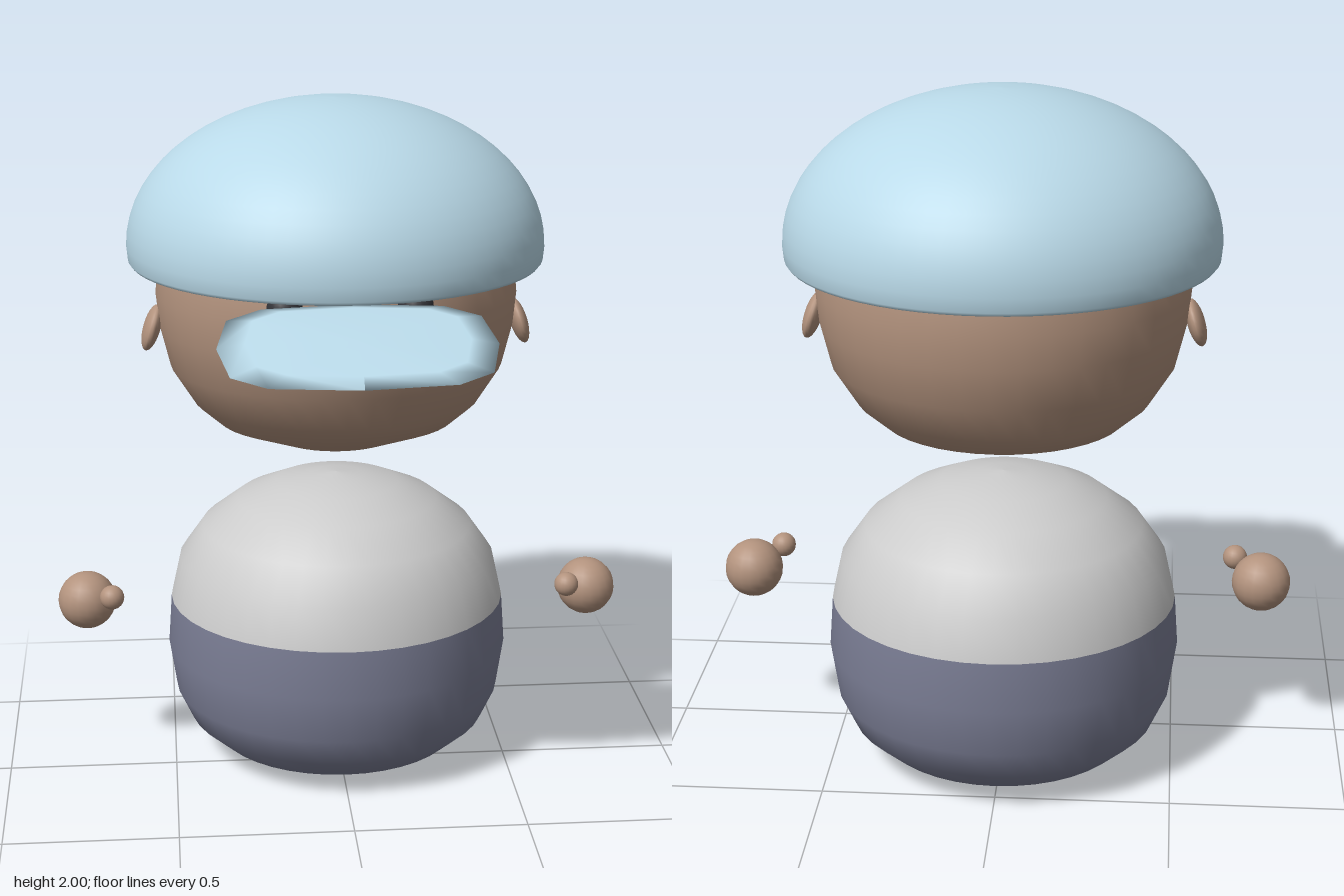
import * as THREE from 'three';

const SKIN = 0xb3937e, HAT = 0xb9d9e8, TROUSERS = 0x7b7e95, DARK = 0x333338, GREY = 0xcccccc;

function part(name, geometry, color, position = [0, 0, 0]) {
  const mesh = new THREE.Mesh(geometry, new THREE.MeshStandardMaterial({ color }));
  mesh.name = name;
  mesh.position.set(...position);
  return mesh;
}

const lathe = (points, segments = 40) =>
  new THREE.LatheGeometry(points.map(([r, y]) => new THREE.Vector2(r, y)), segments);

const ball = (r) => new THREE.SphereGeometry(r, 20, 14);

// Moves every vertex by a rule
function reshape(geometry, rule) {
  const p = geometry.attributes.position, v = new THREE.Vector3();
  for (let i = 0; i < p.count; i++) {
    rule(v.fromBufferAttribute(p, i));
    p.setXYZ(i, v.x, v.y, v.z);
  }
  return geometry;
}

function hatGeometry() {
  const inner = [], outer = [];
  for (let i = 0; i <= 16; i++) {
    const a = (i / 16) * Math.PI / 2;
    outer.push([0.612 * Math.cos(a), 1.575 + 0.425 * Math.sin(a)]);
    inner.unshift([0.57 * Math.cos(a), 1.57 + 0.39 * Math.sin(a)]);
  }
  inner[0][0] = outer[16][0] = 0;
  const rim = [[0.572, 1.535], [0.58, 1.525], [0.6, 1.525], [0.608, 1.535]];
  return lathe([...inner, ...rim, ...outer], 64).scale(1, 1, 0.98);
}

// Thin lens with a rounded-rectangle outline
function brimGeometry() {
  const lens = lathe([[0, -0.018], [0.8, -0.016], [1, 0], [0.8, 0.016], [0, 0.018]], 12);
  const stretch = (c) => Math.sign(c) * Math.abs(c) ** 0.6;
  reshape(lens, (v) => {
    const r = Math.hypot(v.x, v.z) || 1;
    v.x = 0.375 * r * stretch(v.x / r);
    v.z = 0.205 * r * stretch(v.z / r);
  });
  lens.computeVertexNormals();
  return lens;
}

export function createModel() {
  const model = new THREE.Group();

  // Body in two colours that meet at the waist
  model.add(part('lowerBody', lathe([
    [0, 0.005], [0.14, 0.01], [0.27, 0.02], [0.37, 0.05], [0.45, 0.12],
    [0.492, 0.21], [0.513, 0.35], [0.503, 0.495],
  ]), TROUSERS, [0, 0, -0.147]));
  model.add(part('upperBody', lathe([
    [0.503, 0.495], [0.475, 0.62], [0.405, 0.72], [0.3, 0.8], [0.185, 0.85], [0.08, 0.87], [0, 0.877],
  ]), GREY, [0, 0, -0.147]));

  // Head, flattened at the front
  const head = reshape(lathe([
    [0, 0.955], [0.17, 0.985], [0.35, 1.05], [0.42, 1.11], [0.49, 1.22], [0.52, 1.34],
    [0.53, 1.44], [0.52, 1.54], [0.49, 1.65], [0.41, 1.76], [0.25, 1.85], [0, 1.88],
  ]), (v) => { v.z *= v.z > 0 ? 0.87 : 0.98; });
  model.add(part('head', head, SKIN, [0, 0, -0.15]));
  model.add(part('nose', ball(0.095), SKIN, [0, 1.385, 0.382]));

  // Hat and brim
  model.add(part('hat', hatGeometry(), HAT, [0, 0, -0.18]));
  const brim = part('hatBrim', brimGeometry(), HAT, [0, 1.458, 0.582]);
  brim.rotation.x = 0.33;
  model.add(brim);

  // Mirrored pairs
  for (const [side, s] of [['left', 1], ['right', -1]]) {
    model.add(part(side + 'Eye', ball(0.05), DARK, [s * 0.18, 1.5, 0.33]));

    const ear = part(side + 'Ear', ball(0.07).scale(0.36, 1, 1), SKIN, [s * 0.543, 1.335, -0.147]);
    ear.rotation.z = s * 0.3;
    model.add(ear);

    const hand = new THREE.Group();
    hand.name = side + 'Hand';
    hand.add(part(side + 'Palm', ball(0.086), SKIN, [s * 0.756, 0.517, -0.07]));
    hand.add(part(side + 'Thumb', ball(0.036), SKIN, [s * 0.68, 0.556, 0.02]));
    model.add(hand);
  }
  return model;
}
